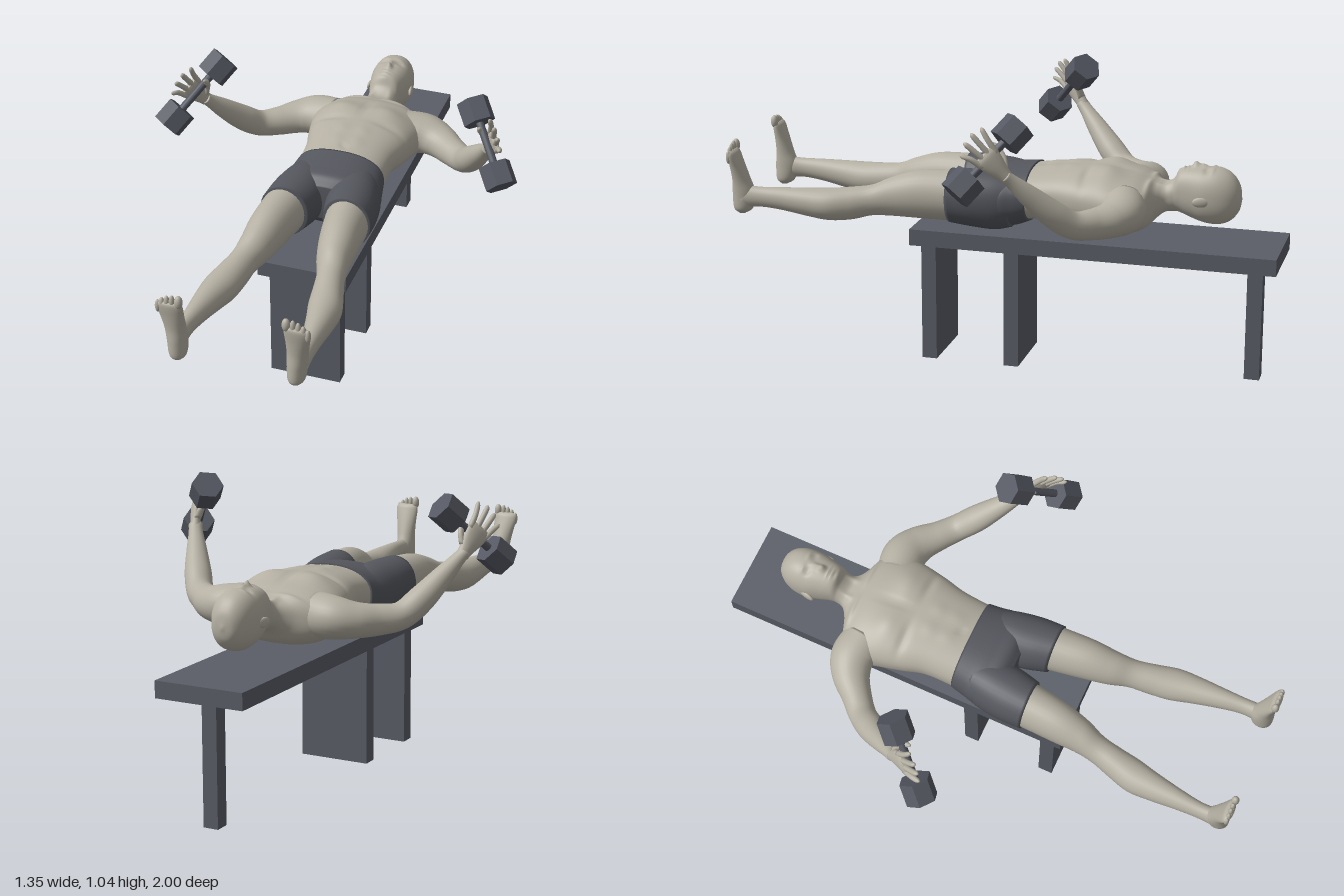
import * as THREE from 'three';
import { toCreasedNormals } from 'three/addons/utils/BufferGeometryUtils.js';

const V3 = (x, y, z) => new THREE.Vector3(x, y, z);
const material = (name, color) => Object.assign(new THREE.MeshStandardMaterial({ color }), { name });

// Lofts smooth rings through rows of [x, y, z, halfWidth, halfDepth].
// axis fixes the ring direction; without it rings follow the path.
function loft(rows, { axis = null, ref = V3(0, 1, 0), around = 28, steps = 8, power = 1 } = {}) {
  const path = new THREE.CatmullRomCurve3(rows.map(r => V3(r[0], r[1], r[2])), false, 'catmullrom');
  const size = new THREE.CatmullRomCurve3(rows.map(r => V3(r[3], r[4], 0)), false, 'catmullrom');
  const n = (rows.length - 1) * steps, pos = [], index = [];
  const bend = v => Math.sign(v) * Math.abs(v) ** power;
  for (let i = 0; i <= n; i++) {
    const c = path.getPoint(i / n), s = size.getPoint(i / n);
    const T = axis || path.getTangent(i / n);
    const U = ref.clone().cross(T).normalize(), V = T.clone().cross(U).normalize();
    for (let j = 0; j < around; j++) {
      const a = (j / around) * Math.PI * 2;
      const p = c.clone().addScaledVector(U, s.x * bend(Math.cos(a))).addScaledVector(V, s.y * bend(Math.sin(a)));
      pos.push(p.x, p.y, p.z);
      if (i < n) {
        const k = (j + 1) % around, q = i * around;
        index.push(q + j, q + k, q + around + j, q + k, q + around + k, q + around + j);
      }
    }
  }
  // end caps
  const first = pos.length / 3, a = path.getPoint(0), b = path.getPoint(1);
  pos.push(a.x, a.y, a.z, b.x, b.y, b.z);
  for (let j = 0; j < around; j++) {
    const k = (j + 1) % around;
    index.push(first, k, j, first + 1, n * around + j, n * around + k);
  }
  const g = new THREE.BufferGeometry();
  g.setAttribute('position', new THREE.Float32BufferAttribute(pos, 3));
  g.setIndex(index);
  g.computeVertexNormals();
  return g;
}

function mirrored(geo) {
  const g = geo.clone().scale(-1, 1, 1), ix = g.index.array;
  for (let i = 0; i < ix.length; i += 3) [ix[i + 1], ix[i + 2]] = [ix[i + 2], ix[i + 1]];
  return g;
}

export function createModel() {
  const root = new THREE.Group();
  root.name = 'benchExercise';
  const skin = material('skin', 0xb5b0a3);
  const cloth = material('shortsGrey', 0x55575e);
  const iron = material('dumbbellGrey', 0x555862);
  const board = material('benchGrey', 0x5a5e67);

  const add = (name, geo, mat) => {
    const m = new THREE.Mesh(geo, mat);
    m.name = name;
    root.add(m);
  };
  const addPair = (name, geo, mat, sharp = false) => {
    const finish = g => (sharp ? toCreasedNormals(g, 0.6) : g);
    add(name + 'Left', finish(geo), mat);
    add(name + 'Right', finish(mirrored(geo)), mat);
  };
  const box = (name, w, h, d, y, z) => add(name, new THREE.BoxGeometry(w, h, d).translate(0, y, z), board);
  const ball = (x, y, z, a, b, c) => new THREE.SphereGeometry(1, 16, 12).scale(a, b, c).translate(x, y, z);

  // Bench
  box('benchTop', 0.33, 0.06, 1.33, 0.47, -0.335);
  box('benchFrontLeg', 0.265, 0.44, 0.055, 0.22, 0.268);
  box('benchMiddleLeg', 0.265, 0.44, 0.055, 0.22, -0.042);
  box('benchRearLeg', 0.055, 0.44, 0.055, 0.22, -0.908);

  // Head, neck and torso: z, half width, underside y, upper y
  const along = V3(0, 0, 1);
  const body = rows => rows.map(([z, w, lo, hi]) => [0, (lo + hi) / 2, z, w, (hi - lo) / 2]);
  const torso = loft(body([
    [-0.848, 0.004, 0.655, 0.665], [-0.838, 0.038, 0.615, 0.712], [-0.81, 0.063, 0.582, 0.75],
    [-0.77, 0.077, 0.567, 0.769], [-0.72, 0.08, 0.57, 0.77], [-0.67, 0.07, 0.585, 0.766],
    [-0.63, 0.06, 0.6, 0.756], [-0.607, 0.056, 0.602, 0.722], [-0.58, 0.064, 0.598, 0.702],
    [-0.555, 0.1, 0.58, 0.704], [-0.525, 0.175, 0.55, 0.715], [-0.48, 0.21, 0.528, 0.733],
    [-0.42, 0.215, 0.52, 0.745], [-0.36, 0.205, 0.526, 0.754], [-0.28, 0.188, 0.542, 0.752],
    [-0.2, 0.168, 0.556, 0.745], [-0.1, 0.163, 0.542, 0.732], [-0.07, 0.163, 0.54, 0.728],
  ]), { axis: along, around: 96, steps: 9, power: 0.88 });

  // Soft bumps on the upper side: x, z, height, spread x, spread z
  const bumps = [
    [0, -0.682, 0.02, 0.011, 0.012], [0, -0.708, 0.011, 0.009, 0.018],
    [0.03, -0.727, -0.009, 0.013, 0.009], [0.03, -0.728, 0.005, 0.007, 0.004],
    [0.028, -0.748, 0.004, 0.018, 0.006], [0, -0.656, 0.006, 0.018, 0.004],
    [0, -0.65, -0.004, 0.02, 0.002], [0, -0.643, 0.006, 0.016, 0.004], [0, -0.622, 0.006, 0.018, 0.008],
    [0.09, -0.39, 0.014, 0.06, 0.05], [0, -0.4, -0.006, 0.012, 0.07], [0.11, -0.31, -0.008, 0.06, 0.015],
    [0.04, -0.24, 0.004, 0.025, 0.03], [0.04, -0.17, 0.004, 0.025, 0.03], [0, -0.135, -0.01, 0.009, 0.008],
    [0.08, -0.53, 0.008, 0.06, 0.01], [0.035, -0.575, 0.006, 0.012, 0.03],
  ];
  const p = torso.attributes.position;
  for (let i = 0; i < p.count; i++) {
    const x = Math.abs(p.getX(i)), y = p.getY(i), z = p.getZ(i);
    if (y < 0.66) continue;
    const fade = Math.min(1, (y - 0.66) / 0.03);
    let dy = 0;
    for (const [bx, bz, h, sx, sz] of bumps) dy += h * Math.exp(-(((x - bx) / sx) ** 2) - ((z - bz) / sz) ** 2);
    p.setY(i, y + dy * fade);
  }
  torso.computeVertexNormals();
  add('headAndTorso', torso, skin);
  addPair('ear', ball(0, 0, 0, 0.009, 0.018, 0.03).rotateY(0.2).translate(0.08, 0.66, -0.715), skin);

  // Shorts
  add('shortsHips', loft(body([
    [-0.1, 0.167, 0.537, 0.737], [-0.05, 0.176, 0.518, 0.732], [0, 0.185, 0.512, 0.727],
    [0.05, 0.17, 0.52, 0.72], [0.085, 0.1, 0.56, 0.69],
  ]), { axis: along, around: 48, power: 0.85 }), cloth);
  addPair('shortsLeg', loft([
    [0.095, 0.618, -0.04, 0.08, 0.095], [0.098, 0.617, 0.02, 0.094, 0.106],
    [0.106, 0.622, 0.1, 0.097, 0.104], [0.117, 0.628, 0.185, 0.087, 0.098],
  ], { axis: along, around: 36, power: 0.95 }), cloth);

  // Legs and feet
  addPair('leg', loft([
    [0.115, 0.628, 0.15, 0.082, 0.094], [0.13, 0.626, 0.3, 0.072, 0.088], [0.141, 0.613, 0.4, 0.06, 0.072],
    [0.157, 0.598, 0.47, 0.051, 0.057], [0.172, 0.585, 0.54, 0.055, 0.06], [0.188, 0.579, 0.62, 0.06, 0.059],
    [0.198, 0.583, 0.7, 0.05, 0.052], [0.206, 0.59, 0.8, 0.036, 0.042], [0.211, 0.592, 0.88, 0.028, 0.037],
    [0.211, 0.59, 0.95, 0.03, 0.043],
  ], { axis: along }), skin);
  addPair('foot', loft([
    [0.205, 0.524, 0.96, 0.01, 0.012], [0.206, 0.545, 0.954, 0.029, 0.036], [0.208, 0.6, 0.948, 0.034, 0.044],
    [0.211, 0.65, 0.955, 0.036, 0.034], [0.215, 0.7, 0.966, 0.041, 0.026], [0.218, 0.74, 0.976, 0.046, 0.02],
    [0.218, 0.758, 0.98, 0.044, 0.016], [0.216, 0.767, 0.982, 0.034, 0.009],
  ], { axis: V3(0, 1, 0), ref: V3(0, 0, -1) }), skin);
  for (let i = 0; i < 5; i++) {
    const r = i ? 0.0095 : 0.014;
    addPair('toe' + (i + 1), ball([0.183, 0.206, 0.224, 0.241, 0.256][i], 0.773 - 0.003 * i * i * 0.6, 0.984, r, 0.024, r), skin);
  }

  // Arms
  addPair('arm', loft([
    [0.14, 0.64, -0.455, 0.08, 0.08], [0.215, 0.638, -0.465, 0.08, 0.074], [0.28, 0.632, -0.44, 0.068, 0.062],
    [0.34, 0.63, -0.39, 0.054, 0.054], [0.4, 0.64, -0.335, 0.049, 0.048], [0.445, 0.69, -0.275, 0.049, 0.047],
    [0.49, 0.757, -0.21, 0.038, 0.037], [0.524, 0.811, -0.16, 0.027, 0.025], [0.54, 0.837, -0.136, 0.025, 0.021],
  ]), skin);

  // Hand frame: x runs along the dumbbell, y to the fingertips, z out of the palm
  const X = V3(0.123, -0.16, 0.135).normalize();
  const Z = X.clone().cross(V3(0.39, 0.68, 0.63)).normalize();
  const hand = new THREE.Matrix4().makeBasis(X, Z.clone().cross(X), Z).setPosition(0.538, 0.832, -0.14);
  const held = (name, geo, mat, sharp) => addPair(name, geo.applyMatrix4(hand), mat, sharp);
  const up = { axis: V3(0, 1, 0), ref: V3(0, 0, -1) };
  held('palm', loft([
    [0, -0.01, 0, 0.023, 0.021], [0, 0.02, 0, 0.028, 0.019], [0, 0.06, 0, 0.039, 0.017],
    [0, 0.095, 0.001, 0.043, 0.014], [0, 0.112, 0.003, 0.036, 0.008],
  ], up), skin);
  [-0.034, -0.011, 0.012, 0.034].forEach((x, i) => {
    const tip = [0.178, 0.19, 0.185, 0.166][i];
    held('finger' + (i + 1), loft([
      [x, 0.085, 0.001, 0.011, 0.011], [x * 1.25, 0.13, 0.005, 0.01, 0.01],
      [x * 1.55, tip - 0.012, 0.013, 0.009, 0.009], [x * 1.65, tip, 0.016, 0.003, 0.003],
    ], { around: 12, steps: 4, ...up }), skin);
  });
  held('thumb', loft([
    [-0.018, 0.02, 0.004, 0.015, 0.014], [-0.042, 0.05, 0.016, 0.013, 0.013],
    [-0.052, 0.085, 0.034, 0.011, 0.011], [-0.052, 0.108, 0.042, 0.004, 0.004],
  ], { around: 12, steps: 5, ...up }), skin);

  // Dumbbells
  const rod = (r, len, sides, x) => new THREE.CylinderGeometry(r, r, len, sides).rotateZ(Math.PI / 2).translate(x, 0.08, 0.024);
  held('dumbbellBar', rod(0.014, 0.2, 16, 0), iron, true);
  held('dumbbellUpperWeight', rod(0.058, 0.085, 6, -0.121), iron, true);
  held('dumbbellLowerWeight', rod(0.058, 0.085, 6, 0.121), iron, true);

  return root;
}
